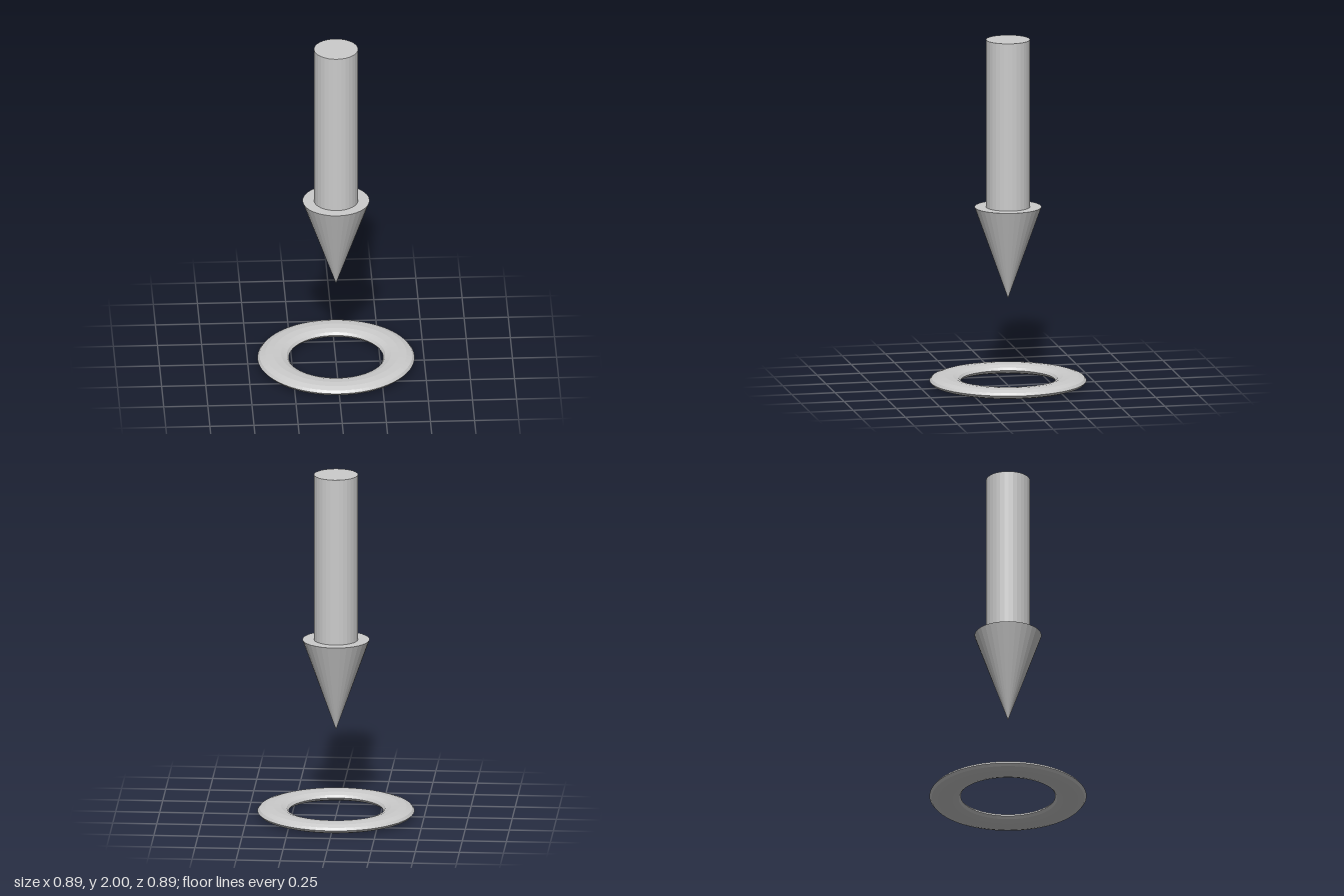
import * as THREE from 'three';

export function createModel() {
  const model = new THREE.Group();
  const material = new THREE.MeshStandardMaterial({ color: 0xcccccc, flatShading: true });

  const add = (name, geometry, y) => {
    const mesh = new THREE.Mesh(geometry, material);
    mesh.name = name;
    mesh.position.y = y;
    model.add(mesh);
  };

  const headTip = 0.503, headBase = 1.033, top = 2;
  const ringRadius = 0.356, ringTube = 0.089, flatten = 1 / 3;

  // Shaft standing on the flat base of the arrow head
  const shaftLength = top - headBase;
  add('arrowShaft', new THREE.CylinderGeometry(0.125, 0.125, shaftLength, 32), headBase + shaftLength / 2);

  // Cone pointing down
  const headLength = headBase - headTip;
  add('arrowHead', new THREE.ConeGeometry(0.19, headLength, 32).rotateX(Math.PI), headTip + headLength / 2);

  // Flattened ring on the ground
  const ring = new THREE.TorusGeometry(ringRadius, ringTube, 12, 64)
    .rotateX(-Math.PI / 2)
    .scale(1, flatten, 1);
  add('groundRing', ring, ringTube * flatten);

  return model;
}
